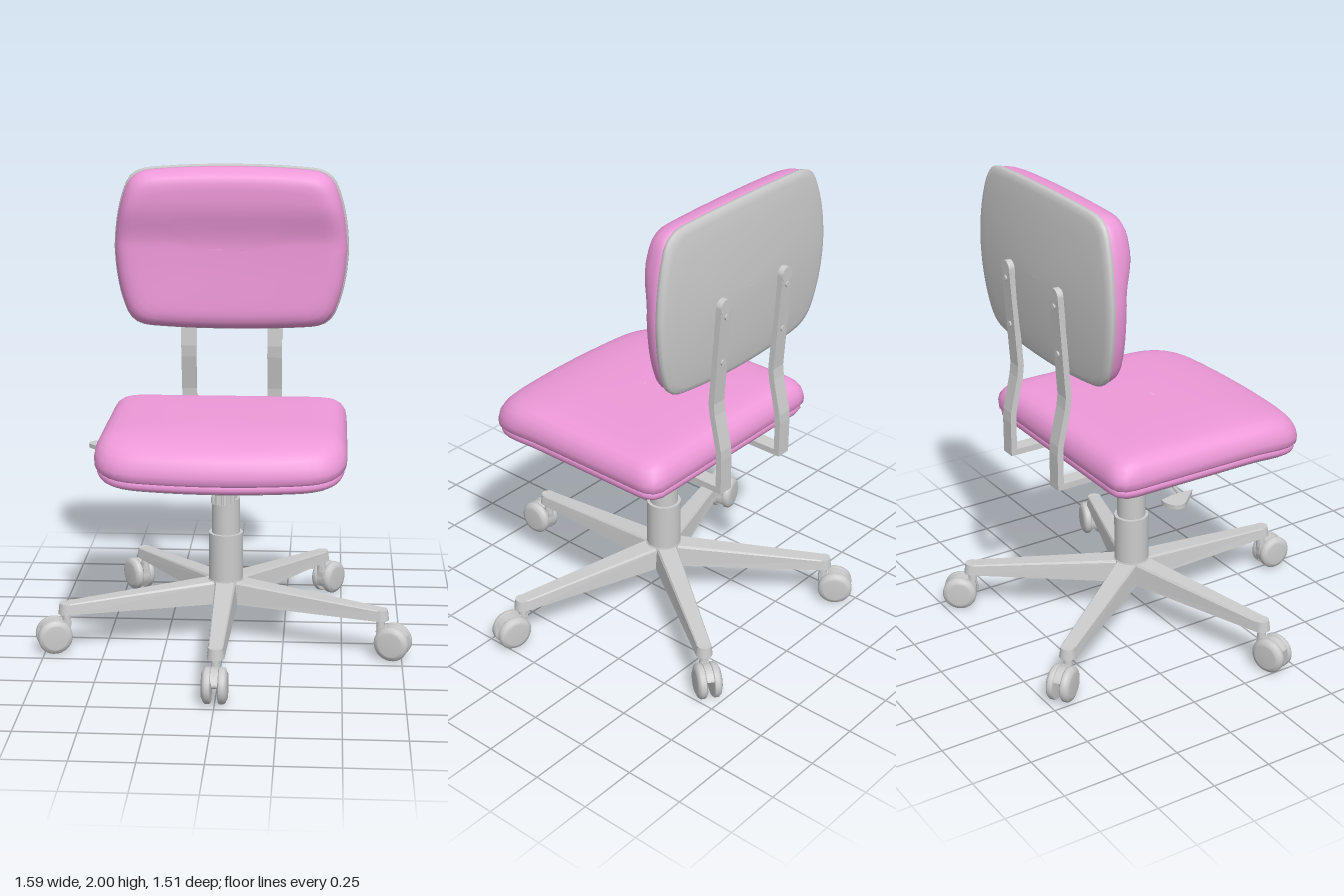
import * as THREE from 'three';

const grey = new THREE.MeshStandardMaterial({ color: 0xcccccc });
const pink = new THREE.MeshStandardMaterial({ color: 0xee99d9 });
const COLUMN_Z = -0.07;

function add(parent, name, geo, mat = grey, x = 0, y = 0, z = 0) {
  const m = new THREE.Mesh(geo, mat);
  m.name = name;
  m.position.set(x, y, z);
  parent.add(m);
  return m;
}

const cyl = (r1, r2, h, n = 32) => new THREE.CylinderGeometry(r1, r2, h, n);
const ramp = (v, a, b) => THREE.MathUtils.smoothstep(v, a, b);

// Padded form: an outline (u, v) lofted through rows of [inset, height], then bent by a rule
function pad(shape, hu, hv, rows, place, n = 96) {
  const pts = shape.getSpacedPoints(n).slice(0, n);
  const pos = [], idx = [];
  rows.forEach(([inset, h]) => pts.forEach(p => {
    const u = p.x * Math.max(0.002, 1 - inset / hu);
    const v = p.y * Math.max(0.002, 1 - inset / hv);
    pos.push(...place(u, v, h));
  }));
  for (let i = 0; i < rows.length - 1; i++) {
    for (let j = 0; j < n; j++) {
      const a = i * n + j, b = i * n + (j + 1) % n;
      idx.push(a, b, b + n, a, b + n, a + n);
    }
  }
  const g = new THREE.BufferGeometry();
  g.setAttribute('position', new THREE.Float32BufferAttribute(pos, 3));
  g.setIndex(idx);
  g.computeVertexNormals();
  return g;
}

// Bent flat strap: a (z, y) path given a thickness and extruded across x
function strap(path, t, width) {
  const p = path.map(a => new THREE.Vector2(...a));
  const side = s => p.map((q, i) => {
    const d1 = p[Math.max(i, 1)].clone().sub(p[Math.max(i, 1) - 1]).normalize();
    const k = Math.min(i, p.length - 2);
    const d2 = p[k + 1].clone().sub(p[k]).normalize();
    const nrm = new THREE.Vector2(-d1.y - d2.y, d1.x + d2.x).normalize();
    const len = s * t / 2 / (nrm.x * -d1.y + nrm.y * d1.x);
    return q.clone().addScaledVector(nrm, len);
  });
  const shape = new THREE.Shape([...side(1), ...side(-1).reverse()]);
  const g = new THREE.ExtrudeGeometry(shape, { depth: width, bevelEnabled: false });
  return g.translate(0, 0, -width / 2).rotateY(-Math.PI / 2);
}

function makeSeat(g) {
  const s = new THREE.Shape();
  s.moveTo(-0.44, 0.485);
  s.quadraticCurveTo(-0.51, 0.485, -0.51, 0.40);
  s.lineTo(-0.51, -0.25);
  s.bezierCurveTo(-0.51, -0.40, -0.45, -0.45, -0.33, -0.465);
  s.quadraticCurveTo(0, -0.505, 0.33, -0.465);
  s.bezierCurveTo(0.45, -0.45, 0.51, -0.40, 0.51, -0.25);
  s.lineTo(0.51, 0.40);
  s.quadraticCurveTo(0.51, 0.485, 0.44, 0.485);
  s.closePath();
  // front lip rolls downwards
  const place = (u, v, h) => {
    const z = 0.035 - v;
    const f = Math.max(0, (z - 0.18) / 0.34);
    return [u, h - 0.045 * f * f, z];
  };
  const top = [[0.014, 0.875], [0.002, 0.89], [0, 0.915], [0.006, 0.945], [0.022, 0.972], [0.045, 0.99],
    [0.075, 1], [0.12, 1.005], [0.18, 1.007], [0.25, 1.009], [0.35, 1.01], [0.5, 1.01]];
  const band = [[0.06, 0.832], [0.035, 0.835], [0.018, 0.846], [0.01, 0.862], [0.014, 0.88], [0.04, 0.885]];
  const plate = [[0.5, 0.83], [0.35, 0.83], [0.25, 0.83], [0.18, 0.83], [0.1, 0.83], [0.045, 0.83],
    [0.03, 0.836], [0.026, 0.848], [0.04, 0.852]];
  add(g, 'seatCushion', pad(s, 0.51, 0.485, top, place), pink);
  add(g, 'seatLowerBand', pad(s, 0.51, 0.485, band, place), pink);
  add(g, 'seatPlate', pad(s, 0.51, 0.485, plate, place));
}

function makeBackrest(g) {
  const s = new THREE.Shape();
  const k = [[1, 1], [-1, 1], [-1, -1], [1, -1]];
  s.moveTo(0.51, 0);
  k.forEach(([a, b], i) => {
    const edge = [[0.505 * a, 0.16 * b, 0.462 * a, 0.265 * b], [0.44 * a, 0.335 * b, 0.36 * a, 0.345 * b],
      [0.2 * a, 0.36 * b, 0, 0.36 * b]];
    if (i % 2 === 0) edge.forEach(e => s.quadraticCurveTo(...e));
    else { // the same quarter run the other way
      s.quadraticCurveTo(0.2 * a, 0.36 * b, 0.36 * a, 0.345 * b);
      s.quadraticCurveTo(0.44 * a, 0.335 * b, 0.462 * a, 0.265 * b);
      s.quadraticCurveTo(0.505 * a, 0.16 * b, 0.51 * a, 0);
    }
  });
  // dished across, gently bowed in height, fuller towards the top
  const place = (u, v, h) => {
    const bow = 0.03 * (u / 0.5) ** 2 + 0.026 * (v / 0.36) ** 2;
    const full = 0.033 * ramp(v, 0.02, 0.2) * ramp(h, 0.03, 0.13);
    return [u, 1.64 + v, -0.515 + bow * (1 - 0.35 * ramp(h, 0.05, 0.13)) + h + full];
  };
  const shell = [[0.51, 0], [0.4, 0], [0.3, 0], [0.2, 0], [0.1, 0], [0.03, 0], [0.008, 0.004], [0, 0.012],
    [0.002, 0.028], [0.01, 0.032], [0.04, 0.032]];
  const cushion = [[0.02, 0.022], [0.008, 0.034], [0.008, 0.052], [0.014, 0.075], [0.026, 0.1], [0.045, 0.116],
    [0.07, 0.125], [0.1, 0.128], [0.14, 0.129], [0.18, 0.13], [0.22, 0.13], [0.27, 0.13], [0.32, 0.13],
    [0.36, 0.13], [0.51, 0.13]];
  add(g, 'backrestShell', pad(s, 0.51, 0.36, shell, place));
  add(g, 'backrestCushion', pad(s, 0.51, 0.36, cushion, place), pink);

  // Uprights with bolts
  const path = [[-0.525, 1.62], [-0.497, 1.2], [-0.503, 1.15], [-0.537, 1], [-0.54, 0.96], [-0.54, 0.822], [-0.2, 0.822]];
  for (const x of [-0.19, 0.19]) {
    add(g, 'backrestUpright', strap(path, 0.026, 0.065), grey, x);
    add(g, 'uprightEnd', cyl(0.0325, 0.0325, 0.026).rotateX(Math.PI / 2), grey, x, 1.62, -0.525);
    for (const y of [1.38, 1.58]) {
      add(g, 'uprightBolt', cyl(0.012, 0.012, 0.012, 12).rotateX(Math.PI / 2), grey, x, y, -0.525 - (y - 1.62) * 0.067 - 0.015);
    }
  }
}

function makeMechanism(g) {
  // Four-armed bracket under the seat
  const s = new THREE.Shape();
  s.moveTo(0.26, 0.26);
  s.quadraticCurveTo(0.1, 0.16, 0, 0.16);
  s.quadraticCurveTo(-0.1, 0.16, -0.26, 0.26);
  s.lineTo(-0.29, 0.22);
  s.quadraticCurveTo(-0.09, 0.08, -0.09, -0.05);
  s.quadraticCurveTo(-0.09, -0.15, -0.24, -0.2);
  s.lineTo(-0.24, -0.26);
  s.lineTo(0.24, -0.26);
  s.lineTo(0.24, -0.2);
  s.quadraticCurveTo(0.09, -0.15, 0.09, -0.05);
  s.quadraticCurveTo(0.09, 0.08, 0.29, 0.22);
  const geo = new THREE.ExtrudeGeometry(s, { depth: 0.02, bevelEnabled: false }).rotateX(Math.PI / 2);
  add(g, 'bracket', geo, grey, 0, 0.832, 0);
  add(g, 'mechanismBox', new THREE.BoxGeometry(0.14, 0.035, 0.3), grey, 0, 0.808, -0.03);
  add(g, 'crossPlate', new THREE.BoxGeometry(0.32, 0.016, 0.14), grey, 0, 0.822, -0.31);

  // Ribbed tension knob
  const knob = new THREE.Group();
  knob.name = 'tensionKnob';
  knob.position.set(0, 0.73, 0.128);
  knob.rotation.x = -0.1;
  add(knob, 'knobBody', cyl(0.04, 0.042, 0.145));
  for (let i = 0; i < 12; i++) {
    const a = i * Math.PI / 6;
    add(knob, 'knobRib', cyl(0.006, 0.006, 0.08, 8), grey, 0.043 * Math.cos(a), -0.03, 0.043 * Math.sin(a));
  }
  g.add(knob);

  // Height lever
  const rod = new THREE.LineCurve3(new THREE.Vector3(-0.05, 0.812, -0.06), new THREE.Vector3(-0.53, 0.812, -0.17));
  add(g, 'leverRod', new THREE.TubeGeometry(rod, 1, 0.008, 10));
  const p = new THREE.Shape();
  p.moveTo(-0.515, -0.11);
  p.lineTo(-0.585, -0.185);
  p.quadraticCurveTo(-0.615, -0.215, -0.59, -0.245);
  p.quadraticCurveTo(-0.56, -0.27, -0.525, -0.262);
  p.lineTo(-0.51, -0.2);
  const paddle = new THREE.ExtrudeGeometry(p, { depth: 0.018, bevelEnabled: false }).rotateX(Math.PI / 2);
  add(g, 'leverPaddle', paddle.scale(1, 1, 1), grey, 0, 0.82, 0);
}

// One spoke of the base with its twin-wheel caster, running along +z
function makeSpoke() {
  const g = new THREE.Group();
  g.name = 'baseSpoke';
  // channel open below, tapering outwards
  const u = new THREE.Shape([[-1, 0], [-0.76, 0], [-0.62, 0.8], [0.62, 0.8], [0.76, 0], [1, 0], [0.84, 0.9], [0.72, 1], [-0.72, 1], [-0.84, 0.9]]
    .map(a => new THREE.Vector2(...a)));
  const geo = new THREE.ExtrudeGeometry(u, { depth: 1, bevelEnabled: false });
  const p = geo.attributes.position;
  for (let i = 0; i < p.count; i++) {
    const t = p.getZ(i);
    p.setXYZ(i, p.getX(i) * (0.054 - 0.019 * t), 0.17 + p.getY(i) * (0.1 - 0.055 * t), 0.03 + 0.67 * t);
  }
  geo.computeVertexNormals();
  add(g, 'spokeChannel', geo);
  add(g, 'spokeEnd', cyl(0.029, 0.035, 0.045), grey, 0, 0.1925, 0.695);
  add(g, 'casterStem', cyl(0.016, 0.02, 0.06, 20), grey, 0, 0.145, 0.695);

  const profile = [[0, 0.02], [0.05, 0.02], [0.056, 0.016], [0.066, 0.013], [0.073, 0.004], [0.073, -0.012], [0.068, -0.018], [0, -0.018]];
  const wheel = new THREE.LatheGeometry(profile.map(a => new THREE.Vector2(...a)).reverse(), 36).rotateZ(-Math.PI / 2);
  for (const s of [1, -1]) {
    const w = add(g, 'casterWheel', wheel, grey, 0.032 * s, 0.078, 0.75);
    w.rotation.y = s > 0 ? 0 : Math.PI;
  }
  // hood between the wheels, covering the upper inner half
  const hood = new THREE.CylinderGeometry(0.07, 0.07, 0.03, 24, 1, false, 0, Math.PI);
  const h = add(g, 'casterHood', hood.rotateZ(Math.PI / 2), grey, 0, 0.078, 0.75);
  h.rotation.x = -0.5;
  add(g, 'casterNeck', new THREE.BoxGeometry(0.03, 0.05, 0.05), grey, 0, 0.115, 0.705);
  add(g, 'casterAxle', cyl(0.014, 0.014, 0.06, 16).rotateZ(Math.PI / 2), grey, 0, 0.078, 0.75);
  return g;
}

function makeBase(g) {
  for (let i = 0; i < 5; i++) {
    const spoke = makeSpoke();
    spoke.position.z = COLUMN_Z;
    spoke.rotation.y = i * Math.PI * 2 / 5;
    g.add(spoke);
  }
  add(g, 'baseHub', cyl(0.076, 0.085, 0.098), grey, 0, 0.221, COLUMN_Z);
  // Telescoping column: [radius, bottom, top]
  [[0.073, 0.26, 0.475], [0.06, 0.475, 0.628], [0.048, 0.628, 0.74], [0.03, 0.74, 0.82], [0.035, 0.163, 0.18]].forEach(([r, a, b]) =>
    add(g, 'columnSection', cyl(r, r, b - a), grey, 0, (a + b) / 2, COLUMN_Z));
}

export function createModel() {
  const chair = new THREE.Group();
  chair.name = 'officeChair';
  for (const [name, make] of [['seat', makeSeat], ['backrest', makeBackrest], ['mechanism', makeMechanism], ['base', makeBase]]) {
    const g = new THREE.Group();
    g.name = name;
    make(g);
    chair.add(g);
  }
  return chair;
}
